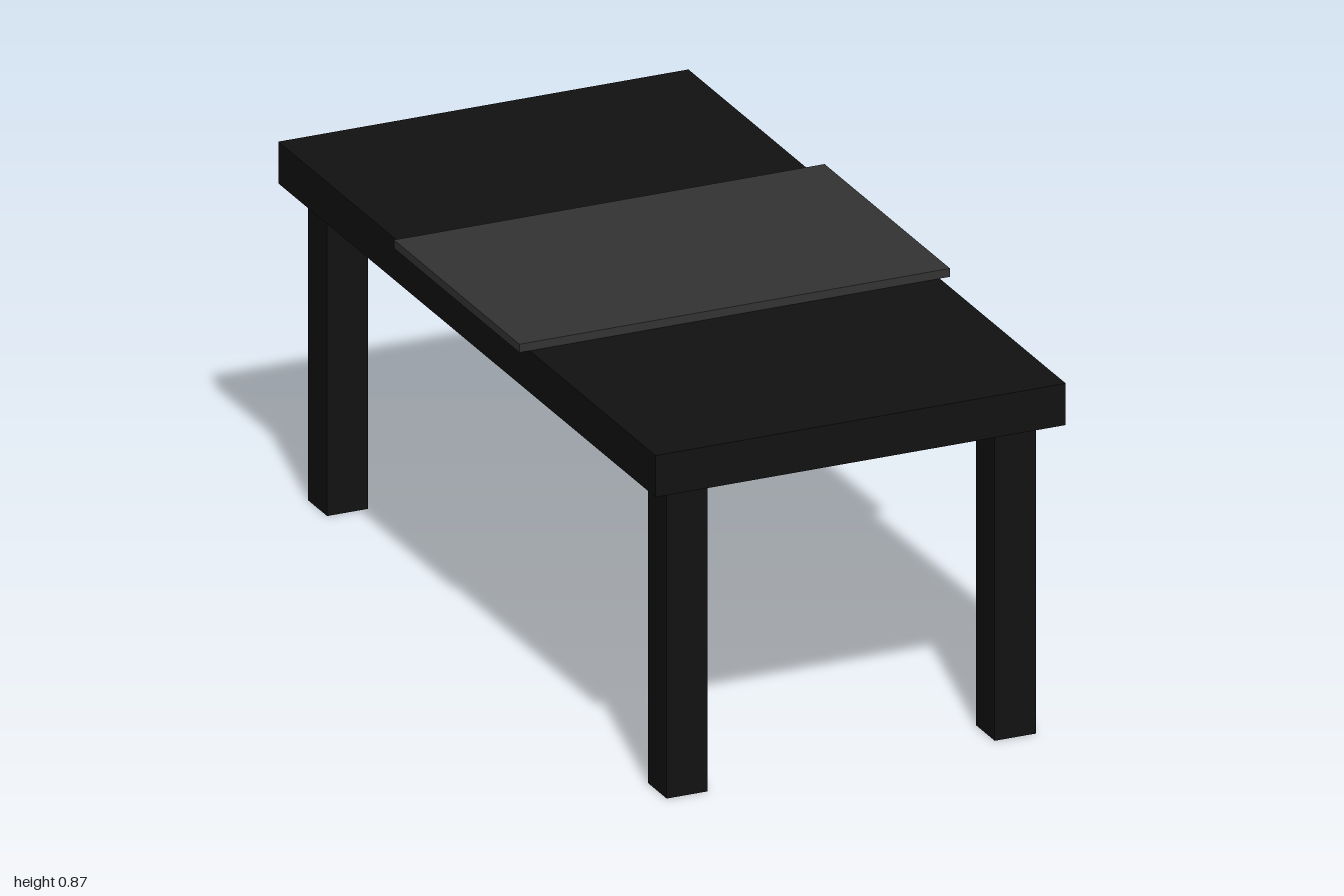
import * as THREE from 'three';

export function createModel() {
  const table = new THREE.Group();
  table.name = 'table';

  const dark = new THREE.MeshStandardMaterial({ color: 0x111111 });
  const cloth = new THREE.MeshStandardMaterial({ color: 0x333333 });

  // Box standing on the height "bottom"
  function addBox(name, [w, h, d], [x, bottom, z], material) {
    const mesh = new THREE.Mesh(new THREE.BoxGeometry(w, h, d), material);
    mesh.name = name;
    mesh.position.set(x, bottom + h / 2, z);
    table.add(mesh);
  }

  // Thick slab top
  addBox('tableTop', [1, 0.1, 2], [0, 0.75, 0], dark);

  // Thin runner laid across the middle, overhanging both sides
  addBox('runner', [1.05, 0.02, 0.665], [0, 0.85, 0], cloth);

  // Four square legs, inset from the corners
  for (const [side, sx] of [['Left', 1], ['Right', -1]]) {
    for (const [end, sz] of [['front', 1], ['back', -1]]) {
      addBox(`${end}${side}Leg`, [0.1, 0.75, 0.1], [sx * 0.4, 0, sz * 0.9], dark);
    }
  }

  return table;
}
